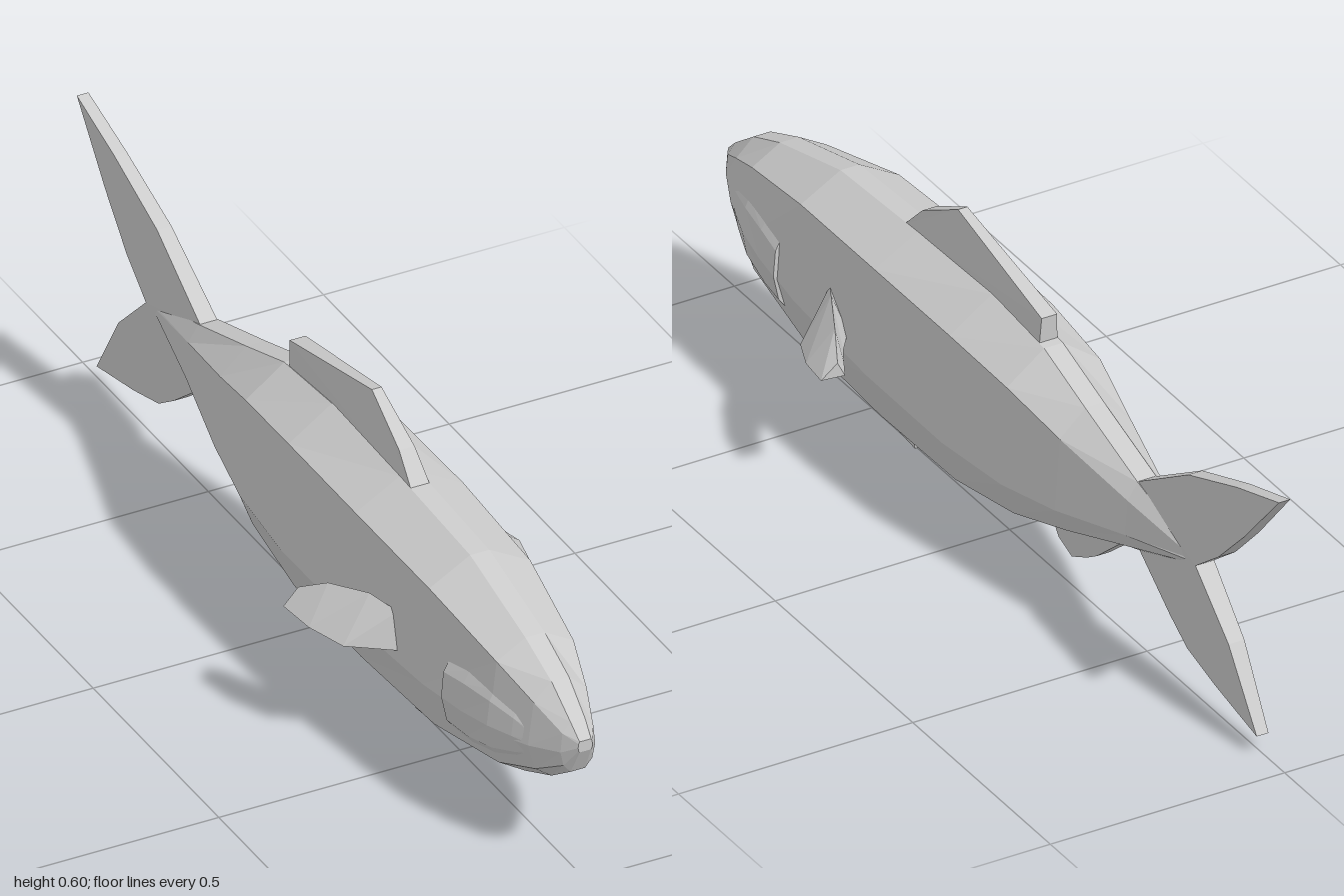
import * as THREE from 'three';

const solid = new THREE.MeshStandardMaterial({ color: 0xcccccc, flatShading: true });
const thin = new THREE.MeshStandardMaterial({ color: 0xcccccc, flatShading: true, side: THREE.DoubleSide });

// Body stations: z, back y, shoulder x/y, flank x/y, belly x/y, keel y, half width of back and keel
const stations = [
  [1.0, 0.303, 0.014, 0.298, 0.015, 0.29, 0.014, 0.283, 0.28, 0.012],
  [0.97, 0.33, 0.032, 0.31, 0.036, 0.27, 0.03, 0.24, 0.222, 0.015],
  [0.9, 0.38, 0.055, 0.345, 0.067, 0.255, 0.052, 0.2, 0.175, 0.018],
  [0.8, 0.42, 0.08, 0.385, 0.097, 0.24, 0.076, 0.165, 0.13, 0.02],
  [0.58, 0.476, 0.105, 0.428, 0.12, 0.225, 0.095, 0.13, 0.092, 0.02],
  [0.3, 0.49, 0.112, 0.437, 0.13, 0.215, 0.1, 0.12, 0.076, 0.02],
  [0.03, 0.497, 0.11, 0.435, 0.127, 0.21, 0.098, 0.122, 0.09, 0.02],
  [-0.16, 0.48, 0.1, 0.42, 0.112, 0.215, 0.085, 0.145, 0.13, 0.02],
  [-0.31, 0.43, 0.075, 0.38, 0.086, 0.23, 0.062, 0.18, 0.165, 0.02],
  [-0.5, 0.37, 0.042, 0.337, 0.048, 0.265, 0.035, 0.235, 0.225, 0.02],
  [-0.7, 0.307, 0.013, 0.304, 0.015, 0.3, 0.013, 0.296, 0.292, 0.011],
];

// One side of a cross-section, from back to keel
const halfRing = ([z, top, sx, sy, wx, wy, lx, ly, bottom, flat]) =>
  [[flat, top, z], [sx, sy, z], [wx, wy, z], [lx, ly, z], [flat, bottom, z]];

// Half width of the body at a given z and y
function bodyWidth(z, y) {
  const i = Math.max(1, stations.findIndex((s) => s[0] <= z));
  const a = stations[i - 1], b = stations[i];
  const t = (a[0] - z) / (a[0] - b[0]);
  const ring = halfRing(a.map((v, k) => v + (b[k] - v) * t));
  for (let k = 1; k < ring.length; k++) {
    const [x0, y0] = ring[k - 1], [x1, y1] = ring[k];
    if (y >= y1) return x0 + (x1 - x0) * Math.min(1, Math.max(0, (y0 - y) / (y0 - y1)));
  }
  return ring[4][0];
}

// Skins a list of rings; closed rings are capped and turned to face outward
function loft(rings, closed = true) {
  const n = rings[0].length, pos = rings.flat(2);
  let index = [];
  for (let i = 0; i < rings.length - 1; i++) {
    for (let j = 0; j < (closed ? n : n - 1); j++) {
      const a = i * n + j, b = i * n + (j + 1) % n;
      index.push(a, b, a + n, b, b + n, a + n);
    }
  }
  if (closed) {
    const last = (rings.length - 1) * n;
    for (let j = 1; j < n - 1; j++) index.push(0, j + 1, j, last, last + j, last + j + 1);
    const p = (i) => new THREE.Vector3().fromArray(pos, i * 3);
    let volume = 0;
    for (let i = 0; i < index.length; i += 3) {
      volume += p(index[i]).dot(p(index[i + 1]).cross(p(index[i + 2])));
    }
    if (volume < 0) index.reverse();
  }
  const g = new THREE.BufferGeometry();
  g.setAttribute('position', new THREE.Float32BufferAttribute(pos, 3));
  g.setIndex(index);
  g.computeVertexNormals();
  return g;
}

// Upright fin from a (z, y) outline, its half thickness varying with height
function uprightFin(outline, halfThickness) {
  const shape = new THREE.Shape(outline.map(([z, y]) => new THREE.Vector2(z, y)));
  const g = new THREE.ExtrudeGeometry(shape, { depth: 2, bevelEnabled: false });
  g.translate(0, 0, -1).rotateY(-Math.PI / 2);
  const p = g.attributes.position;
  for (let i = 0; i < p.count; i++) p.setX(i, p.getX(i) * halfThickness(p.getY(i)));
  g.computeVertexNormals();
  return g;
}

export function createModel() {
  const model = new THREE.Group();
  model.name = 'fish';
  const add = (name, geometry, material = solid) => {
    const mesh = new THREE.Mesh(geometry, material);
    mesh.name = name;
    model.add(mesh);
  };
  const ramp = (y0, t0, y1, t1) => (y) =>
    THREE.MathUtils.lerp(t0, t1, THREE.MathUtils.clamp((y - y0) / (y1 - y0), 0, 1));

  // Body
  add('body', loft(stations.map((s) => {
    const half = halfRing(s);
    return [...half, ...half.map(([x, y, z]) => [-x, y, z]).reverse()];
  })));

  // Fins on the centre line
  add('dorsalFin', uprightFin([
    [0.35, 0.48], [0.29, 0.54], [0.17, 0.603], [-0.145, 0.535], [-0.14, 0.46],
  ], ramp(0.5, 0.02, 0.6, 0.01)));
  add('tailFin', uprightFin([
    [-0.49, 0.365], [-0.675, 0.476], [-0.85, 0.54], [-1, 0.585], [-0.88, 0.45], [-0.79, 0.36], [-0.71, 0.3],
    [-0.825, 0.19], [-0.92, 0.04], [-0.77, 0.072], [-0.67, 0.1], [-0.61, 0.14], [-0.49, 0.235],
  ], (y) => 0.02 - 0.008 * Math.min(1, Math.abs(y - 0.3) / 0.28)));
  add('pelvicFin', uprightFin([
    [0.53, 0.1], [0.52, 0.07], [0.475, 0.035], [0.4, 0.01], [0.335, 0], [0.33, 0.04], [0.34, 0.1],
  ], ramp(0, 0.005, 0.08, 0.02)));
  add('analFin', uprightFin([
    [-0.165, 0.15], [-0.195, 0.09], [-0.24, 0.07], [-0.3, 0.1], [-0.34, 0.125], [-0.45, 0.215], [-0.4, 0.23],
  ], ramp(0.07, 0.008, 0.2, 0.02)));

  // Pectoral fins: triangular sections of lower, upper and rear edge, root to tip
  const pectoral = [
    [[0.11, 0.245, 0.495], [0.11, 0.315, 0.465], [0.11, 0.25, 0.4]],
    [[0.2, 0.24, 0.42], [0.14, 0.333, 0.41], [0.155, 0.255, 0.34]],
    [[0.232, 0.248, 0.345], [0.182, 0.32, 0.325], [0.18, 0.26, 0.295]],
    [[0.245, 0.255, 0.268], [0.212, 0.285, 0.264], [0.197, 0.255, 0.262]],
  ];
  // Gill covers: z, top y, bottom y and lift off the body; the first column is the tucked-in lip
  const gill = [
    [0.652, 0.312, 0.165, -0.008], [0.655, 0.315, 0.162, 0.008], [0.72, 0.325, 0.16, 0.008],
    [0.8, 0.325, 0.18, 0.005], [0.86, 0.31, 0.205, 0.003], [0.92, 0.28, 0.235, -0.002],
  ];
  for (const [side, s] of [['left', 1], ['right', -1]]) {
    add(side + 'PectoralFin', loft(pectoral.map((r) => r.map(([x, y, z]) => [s * x, y, z]))));
    add(side + 'GillCover', loft(gill.map(([z, top, bottom, lift]) =>
      [0, 0.15, 0.5, 0.85, 1].map((t) => {
        const y = top + (bottom - top) * t;
        const edge = t % 1 === 0 ? -0.003 : lift;
        return [s * (bodyWidth(z, y) + edge), y, z];
      })), false), thin);
  }
  return model;
}
